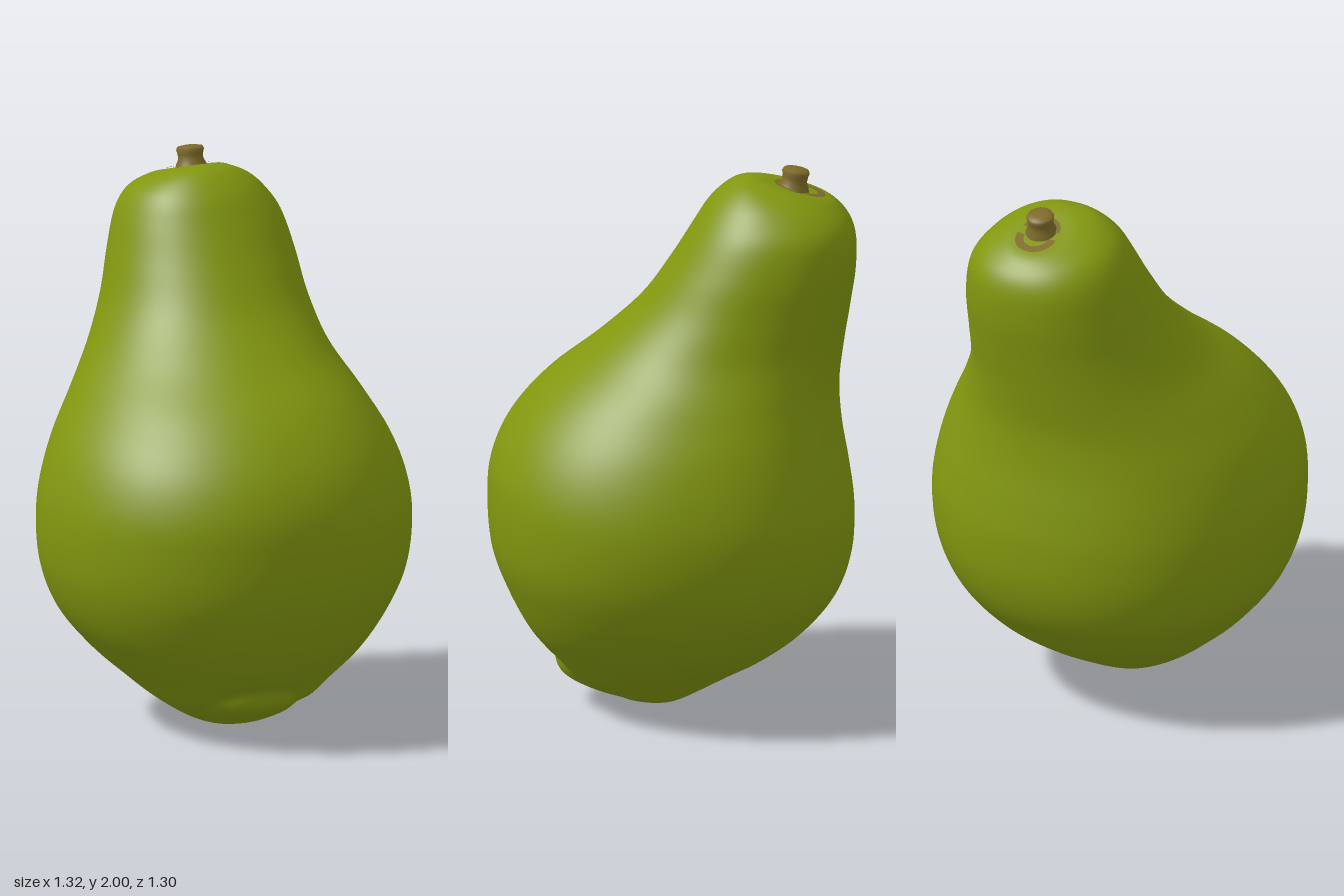
import * as THREE from 'three';

// Cross-sections from bottom to top: y, xMin, xMax, zMin, zMax
const SECTIONS = [
  [0.00, 0.00, 0.00, 0.03, 0.03],
  [0.013, -0.08, 0.06, -0.03, 0.13],
  [0.05, -0.18, 0.13, -0.11, 0.25],
  [0.12, -0.29, 0.235, -0.235, 0.385],
  [0.20, -0.38, 0.36, -0.36, 0.43],
  [0.30, -0.485, 0.475, -0.485, 0.51],
  [0.43, -0.585, 0.575, -0.59, 0.58],
  [0.58, -0.643, 0.64, -0.642, 0.636],
  [0.75, -0.66, 0.66, -0.65, 0.652],
  [0.90, -0.645, 0.64, -0.632, 0.64],
  [1.05, -0.592, 0.59, -0.607, 0.577],
  [1.20, -0.495, 0.515, -0.597, 0.455],
  [1.35, -0.383, 0.445, -0.612, 0.275],
  [1.50, -0.30, 0.42, -0.632, 0.12],
  [1.65, -0.248, 0.408, -0.65, 0.015],
  [1.78, -0.206, 0.38, -0.643, -0.065],
  [1.86, -0.165, 0.325, -0.59, -0.117],
  [1.91, -0.11, 0.265, -0.49, -0.163],
  [1.945, -0.04, 0.19, -0.375, -0.21],
  [1.96, 0.03, 0.12, -0.31, -0.25],
  [1.964, 0.075, 0.075, -0.28, -0.28],
];
const STEM = { x: 0.1, y: 1.925, z: -0.425, slope: 0.29 };

// Smooth interpolation between cross-sections
function sectionAt(i, t) {
  const at = k => SECTIONS[Math.min(Math.max(k, 0), SECTIONS.length - 1)];
  const [a, b, c, d] = [at(i - 1), at(i), at(i + 1), at(i + 2)];
  return b.map((v, k) => v + 0.5 * t * (c[k] - a[k]
    + t * (2 * a[k] - 5 * v + 4 * c[k] - d[k] + t * (3 * (v - c[k]) + d[k] - a[k]))));
}

// Local details: a groove round the blossom end and a flat seat for the stem
function sculpt(p) {
  if (p.y < 0.5) {
    const d = Math.hypot(p.x + 0.05, (p.y - 0.1) * 1.3, p.z - 0.3);
    const front = THREE.MathUtils.smoothstep(p.z, 0.12, 0.3);
    const depth = 0.012 * front * Math.exp(-(((d - 0.18) / 0.035) ** 2));
    p.y += depth * 0.6;
    p.z -= depth;
  }
  if (p.y > 1.8) {
    const d = Math.hypot(p.x - STEM.x, p.z - STEM.z + 0.02);
    const seat = STEM.y + STEM.slope * (p.z - STEM.z);
    p.y = THREE.MathUtils.lerp(seat, p.y, THREE.MathUtils.smoothstep(d, 0.08, 0.16));
  }
  return p;
}

function fruitGeometry(around = 112, steps = 6) {
  const pos = [], index = [], n = 2.15;
  const [y0, x0, , z0] = SECTIONS[0];
  const last = SECTIONS[SECTIONS.length - 1];
  pos.push(x0, y0, z0);
  let rings = 0;
  for (let i = 0; i < SECTIONS.length - 1; i++) {
    for (let s = i === 0 ? 1 : 0; s < steps; s++, rings++) {
      const [y, xa, xb, za, zb] = sectionAt(i, s / steps);
      for (let j = 0; j < around; j++) {
        const a = (j / around) * Math.PI * 2, c = Math.cos(a), q = Math.sin(a);
        const r = (Math.abs(c) ** n + Math.abs(q) ** n) ** (-1 / n);
        const p = sculpt(new THREE.Vector3(
          (xa + xb) / 2 + (xb - xa) / 2 * r * c, Math.max(y, 0), (za + zb) / 2 + (zb - za) / 2 * r * q));
        pos.push(p.x, p.y, p.z);
      }
    }
  }
  const top = pos.length / 3;
  pos.push(last[1], last[0], last[3]);
  const id = (i, j) => 1 + i * around + (j % around);
  for (let j = 0; j < around; j++) {
    index.push(0, id(0, j), id(0, j + 1));
    for (let i = 0; i < rings - 1; i++) {
      const a = id(i, j), b = id(i, j + 1), c = id(i + 1, j), d = id(i + 1, j + 1);
      index.push(a, c, b, b, c, d);
    }
    index.push(id(rings - 1, j), top, id(rings - 1, j + 1));
  }
  const g = new THREE.BufferGeometry();
  g.setAttribute('position', new THREE.Float32BufferAttribute(pos, 3));
  g.setIndex(index);
  g.computeVertexNormals();
  return g;
}

export function createModel() {
  const skin = new THREE.MeshStandardMaterial({ name: 'green skin', color: 0x82960f });
  const bark = new THREE.MeshStandardMaterial({ name: 'brown stem', color: 0x7d6a2a });
  const model = new THREE.Group();
  model.name = 'pearShapedFruit';

  const add = (parent, name, geometry, material) => {
    const mesh = new THREE.Mesh(geometry, material);
    mesh.name = name;
    parent.add(mesh);
    return mesh;
  };
  add(model, 'fruit', fruitGeometry(), skin);

  // Stem and its scars sit square on the sloping top
  const stemGroup = new THREE.Group();
  stemGroup.name = 'stemGroup';
  stemGroup.position.set(STEM.x, STEM.y, STEM.z);
  stemGroup.rotation.x = -Math.atan(STEM.slope);
  model.add(stemGroup);

  const profile = [[0.062, -0.02], [0.054, 0.008], [0.045, 0.025], [0.046, 0.045],
    [0.05, 0.06], [0.045, 0.07], [0.025, 0.074], [0, 0.075]].map(p => new THREE.Vector2(...p));
  const stem = add(stemGroup, 'stem', new THREE.LatheGeometry(profile, 32), bark);
  stem.rotation.x = 0.12;

  // Thin brown scars behind and in front of the stem
  const scar = (name, inner, outer, start, length, z) => {
    const g = new THREE.RingGeometry(inner, outer, 32, 1, start, length).rotateX(-Math.PI / 2);
    add(stemGroup, name, g, bark).position.set(0, 0.005, z);
  };
  scar('backScar', 0.045, 0.075, -0.1, Math.PI + 0.2, -0.045);
  scar('frontScar', 0.04, 0.07, Math.PI, Math.PI, 0.0);
  return model;
}
